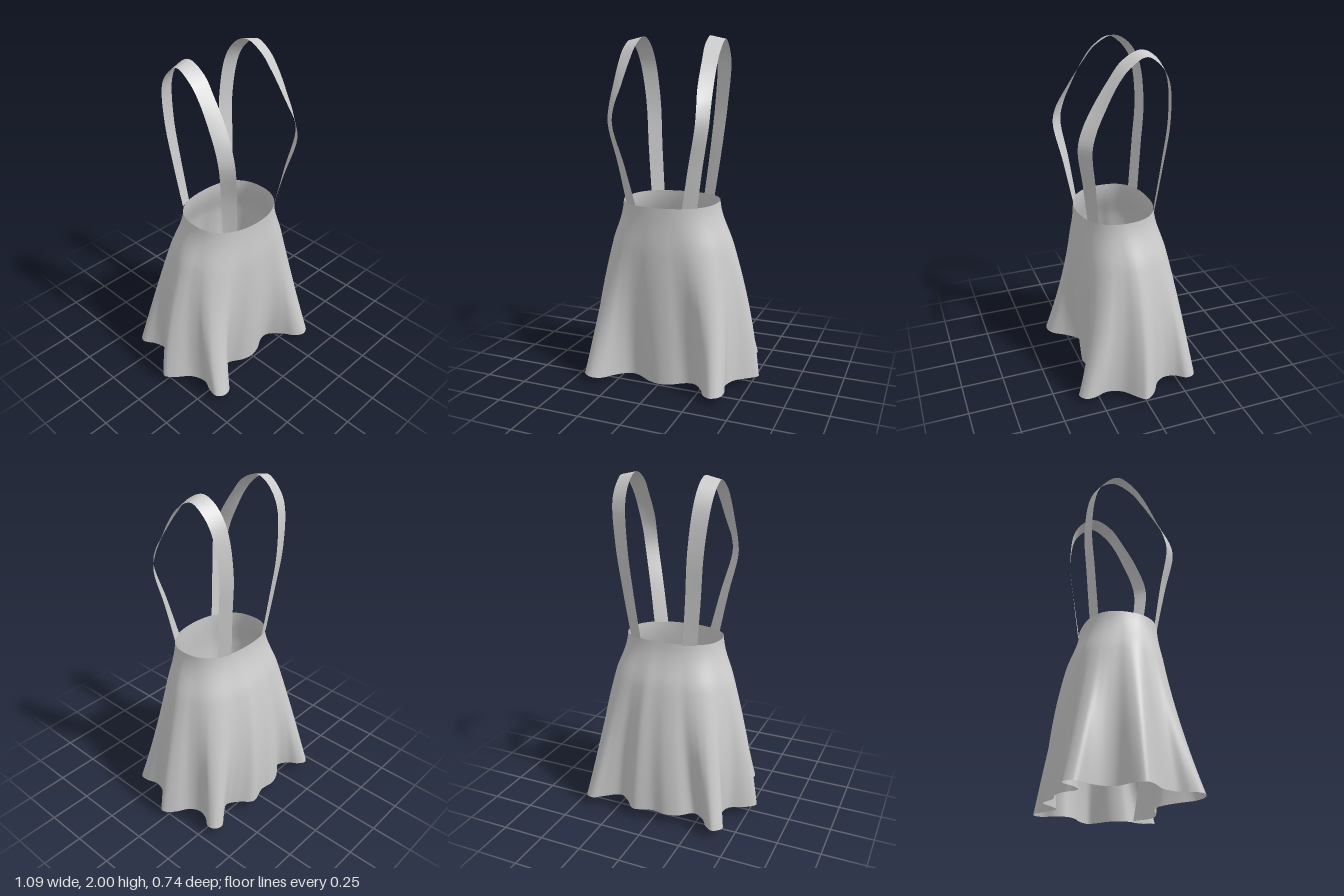
import * as THREE from 'three';

const material = new THREE.MeshStandardMaterial({ color: 0xcccccc, side: THREE.DoubleSide });

// Smooth sheet through point(column, row); closed sheets join the last column to the first.
function sheet(name, columns, rows, closed, point) {
  const positions = [], index = [];
  for (let r = 0; r <= rows; r++)
    for (let c = 0; c < columns; c++) positions.push(...point(c, r).toArray());
  const spans = closed ? columns : columns - 1;
  for (let r = 0; r < rows; r++)
    for (let c = 0; c < spans; c++) {
      const n = (c + 1) % columns;
      const a = r * columns + c, b = r * columns + n;
      const d = a + columns, e = b + columns;
      index.push(a, d, b, b, d, e);
    }
  const geometry = new THREE.BufferGeometry();
  geometry.setAttribute('position', new THREE.Float32BufferAttribute(positions, 3));
  geometry.setIndex(index);
  geometry.computeVertexNormals();
  const mesh = new THREE.Mesh(geometry, material);
  mesh.name = name;
  return mesh;
}

// Hem outline (x, z), from the front centre round the left side and back again.
const hemPoints = [
  [0, .235], [.07, .22], [.15, .18], [.21, .19], [.27, .26], [.31, .335],
  [.36, .37], [.41, .345], [.42, .29], [.40, .21], [.43, .125], [.51, .055],
  [.543, .01], [.50, -.05], [.425, -.10], [.395, -.16], [.41, -.225], [.45, -.28],
  [.44, -.33], [.39, -.345], [.33, -.30], [.25, -.25], [.18, -.29], [.11, -.355],
  [0, -.325], [-.09, -.335], [-.17, -.31], [-.24, -.255], [-.31, -.29], [-.35, -.345],
  [-.40, -.37], [-.445, -.32], [-.405, -.245], [-.385, -.17], [-.41, -.10], [-.50, -.05],
  [-.545, 0], [-.51, .055], [-.43, .125], [-.40, .21], [-.425, .28], [-.43, .34],
  [-.38, .37], [-.32, .345], [-.27, .26], [-.21, .19], [-.15, .18], [-.07, .22],
];

// Rounded-box oval with separate front and back depths.
function oval(angle, halfWidth, front, back, power) {
  const s = Math.sin(angle), c = Math.cos(angle);
  const round = v => Math.sign(v) * Math.abs(v) ** (2 / power);
  const middle = (front + back) / 2, depth = (front - back) / 2;
  return new THREE.Vector3(halfWidth * round(s), 0, middle + depth * round(c));
}

function makeSkirt() {
  const hem = new THREE.CatmullRomCurve3(
    hemPoints.map(([x, z]) => new THREE.Vector3(x, 0, z)), true, 'catmullrom', 0.5);
  const columns = 288, rows = 48;
  return sheet('skirt', columns, rows, true, (c, r) => {
    const u = c / columns, t = r / rows, angle = u * Math.PI * 2;
    const facing = Math.cos(angle);
    // The waist is rounder in front than behind.
    const waist = oval(angle, .283, .25, -.185, facing > 0 ? 2.2 : 2.5);
    const flare = oval(angle, .45, .305, -.345, 2.05);
    // The cloth flares at the hip; folds deepen to the hem, latest at the corners.
    const spread = (1 - (1 - t) ** 2.2) * THREE.MathUtils.smoothstep(t, -.1, .25);
    const fold = t ** (1.4 + .6 * Math.sin(2 * angle) ** 2);
    const p = waist.clone().lerp(flare, spread);
    p.addScaledVector(hem.getPoint(u).sub(flare), fold);
    // The waist rises to the back; the hem dips at the front centre.
    const top = 1.073 - .012 * facing;
    const bottom = .055 - .05 * Math.max(0, facing) ** 4 + .012 * Math.max(0, -facing);
    p.y = THREE.MathUtils.lerp(top, bottom, t);
    return p;
  });
}

// Strap edges from the front waist, over the shoulder, to the back waist.
const innerEdge = [
  [.14, 1.06, .228], [.19, 1.3, .267], [.24, 1.52, .305], [.24, 1.61, .285], [.225, 1.72, .225],
  [.215, 1.86, .13], [.207, 1.95, .055], [.203, 2, -.05], [.2, 1.965, -.13], [.195, 1.86, -.20],
  [.175, 1.62, -.228], [.155, 1.35, -.205], [.13, 1.08, -.177],
];
const outerEdge = [
  [.215, 1.062, .187], [.255, 1.3, .215], [.298, 1.52, .243], [.30, 1.62, .22], [.297, 1.73, .17],
  [.295, 1.85, .105], [.295, 1.93, .04], [.293, 1.98, -.05], [.29, 1.94, -.12], [.285, 1.85, -.18],
  [.26, 1.62, -.205], [.235, 1.35, -.178], [.205, 1.08, -.147],
];

function makeStrap(name, side) {
  const edges = [outerEdge, innerEdge].map(edge => new THREE.CatmullRomCurve3(
    edge.map(([x, y, z]) => new THREE.Vector3(x * side, y, z))));
  if (side < 0) edges.reverse();
  const columns = 5, rows = 72;
  return sheet(name, columns, rows, false, (c, r) =>
    edges[0].getPoint(r / rows).lerp(edges[1].getPoint(r / rows), c / (columns - 1)));
}

export function createModel() {
  const model = new THREE.Group();
  model.name = 'suspenderSkirt';
  model.add(makeSkirt(), makeStrap('leftStrap', 1), makeStrap('rightStrap', -1));
  return model;
}
